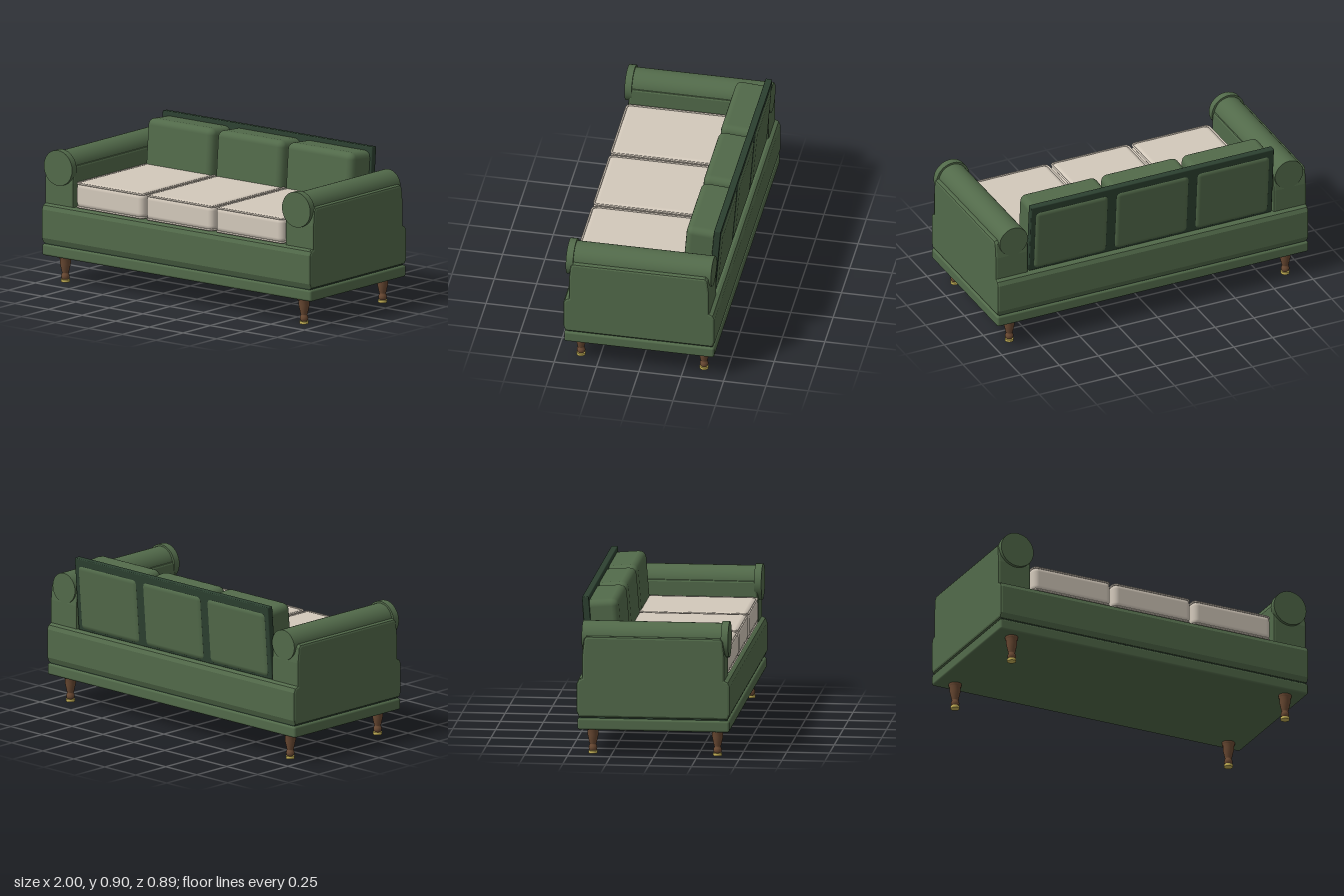
import * as THREE from 'three';
import { RoundedBoxGeometry } from 'three/addons/geometries/RoundedBoxGeometry.js';

const material = (name, color) => {
  const m = new THREE.MeshStandardMaterial({ color });
  m.name = name;
  return m;
};

export function createModel() {
  const sofa = new THREE.Group();
  sofa.name = 'sofa';
  const green = material('green upholstery', 0x526a4a);
  const darkGreen = material('dark green frame', 0x2c4030);
  const cream = material('cream fabric', 0xd3c9bb);
  const wood = material('brown wood', 0x6b4a33);
  const brass = material('brass', 0xc8b458);

  const add = (name, geometry, mat, x = 0, y = 0, z = 0, parent = sofa) => {
    const mesh = new THREE.Mesh(geometry, mat);
    mesh.name = name;
    mesh.position.set(x, y, z);
    parent.add(mesh);
    return mesh;
  };
  const softBox = (w, h, d, r) => new RoundedBoxGeometry(w, h, d, 2, r);

  // Side outline (half, from bottom to top) mirrored and extruded along x
  const extrudeSide = (half, width, bevel) => {
    const points = half.map(([z, y]) => new THREE.Vector2(z, y));
    const mirrored = half.map(([z, y]) => new THREE.Vector2(-z, y)).reverse();
    const geometry = new THREE.ExtrudeGeometry(new THREE.Shape([...points, ...mirrored]), {
      depth: width - 2 * bevel,
      bevelEnabled: bevel > 0,
      bevelSize: bevel,
      bevelThickness: bevel,
      bevelOffset: -bevel,
      bevelSegments: 2,
    });
    geometry.translate(0, 0, -width / 2 + bevel);
    return geometry.rotateY(Math.PI / 2);
  };

  // Plinth, shadow gap and seat body
  add('plinth', softBox(2, 0.068, 0.885, 0.013), green, 0, 0.189, 0);
  add('plinthGap', new THREE.BoxGeometry(1.97, 0.02, 0.86), darkGreen, 0, 0.226, 0);
  const lower = [[0.434, 0.23], [0.447, 0.26], [0.447, 0.428], [0.436, 0.452]];
  add('seatBody', extrudeSide([...lower, [0.42, 0.46]], 1.97, 0), green);

  // Arms: side panel, roll and round front cap
  for (const side of [-1, 1]) {
    const arm = new THREE.Group();
    arm.name = side > 0 ? 'leftArm' : 'rightArm';
    sofa.add(arm);
    const outline = [...lower, [0.415, 0.462], [0.415, 0.6], [0.405, 0.69], [0.39, 0.706]];
    add('armPanel', extrudeSide(outline, 0.212, 0.013), green, side * 0.894, 0, 0, arm);
    const roll = new THREE.CylinderGeometry(0.09, 0.09, 0.83, 32).rotateX(Math.PI / 2);
    add('armRoll', roll, green, side * 0.885, 0.69, -0.005, arm);
    const cap = new THREE.CylinderGeometry(0.105, 0.105, 0.042, 32).rotateX(Math.PI / 2);
    add('armCap', cap, green, side * 0.885, 0.686, 0.413, arm);
  }

  // Leaning back frame
  const tilt = -0.08;
  add('backFrame', softBox(1.56, 0.44, 0.04, 0.006), darkGreen, 0, 0.679, -0.403).rotation.x = tilt;

  // Closed piping loop around a seat cushion
  const piping = (hw, hd) => {
    const r = 0.025;
    const corners = [[1, 1], [-1, 1], [-1, -1], [1, -1]];
    const path = new THREE.CurvePath();
    const at = (x, z) => new THREE.Vector3(x, 0, z);
    corners.forEach(([sx, sz], i) => {
      const [nx, nz] = corners[(i + 1) % 4];
      const alongX = sx !== nx;
      const start = alongX ? at(sx * (hw - r), sz * hd) : at(sx * hw, sz * (hd - r));
      const end = alongX ? at(nx * (hw - r), nz * hd) : at(nx * hw, nz * (hd - r));
      const next = alongX ? at(nx * hw, nz * (hd - r)) : at(nx * (hw - r), nz * hd);
      path.add(new THREE.LineCurve3(start, end));
      path.add(new THREE.QuadraticBezierCurve3(end, at(nx * hw, nz * hd), next));
    });
    return new THREE.TubeGeometry(path, 160, 0.006, 6, true);
  };

  // Three seat cushions with piping, three back cushions showing through the frame
  for (const i of [-1, 0, 1]) {
    const x = i * 0.519;
    add('seatCushion', softBox(0.505, 0.158, 0.69, 0.035), cream, x, 0.539, 0.075);
    for (const y of [0.609, 0.47]) add('cushionPiping', piping(0.247, 0.339), cream, x, y, 0.075);
    add('backCushion', softBox(0.495, 0.415, 0.214, 0.04), green, x, 0.671, -0.323).rotation.x = tilt;
  }

  // Turned legs with brass feet
  const legProfile = [
    [0.016, 0.014], [0.022, 0.02], [0.025, 0.032], [0.022, 0.045], [0.017, 0.053],
    [0.02, 0.055], [0.032, 0.11], [0.032, 0.14], [0.038, 0.14], [0.038, 0.157],
  ].map(([r, y]) => new THREE.Vector2(r, y));
  for (const sx of [-1, 1]) {
    for (const sz of [-1, 1]) {
      const leg = new THREE.Group();
      leg.name = sz > 0 ? 'frontLeg' : 'backLeg';
      leg.position.set(sx * 0.887, 0, sz * 0.363);
      sofa.add(leg);
      add('turnedLeg', new THREE.LatheGeometry(legProfile, 20), wood, 0, 0, 0, leg);
      add('brassFoot', new THREE.CylinderGeometry(0.026, 0.026, 0.015, 20), brass, 0, 0.0075, 0, leg);
    }
  }
  return sofa;
}
